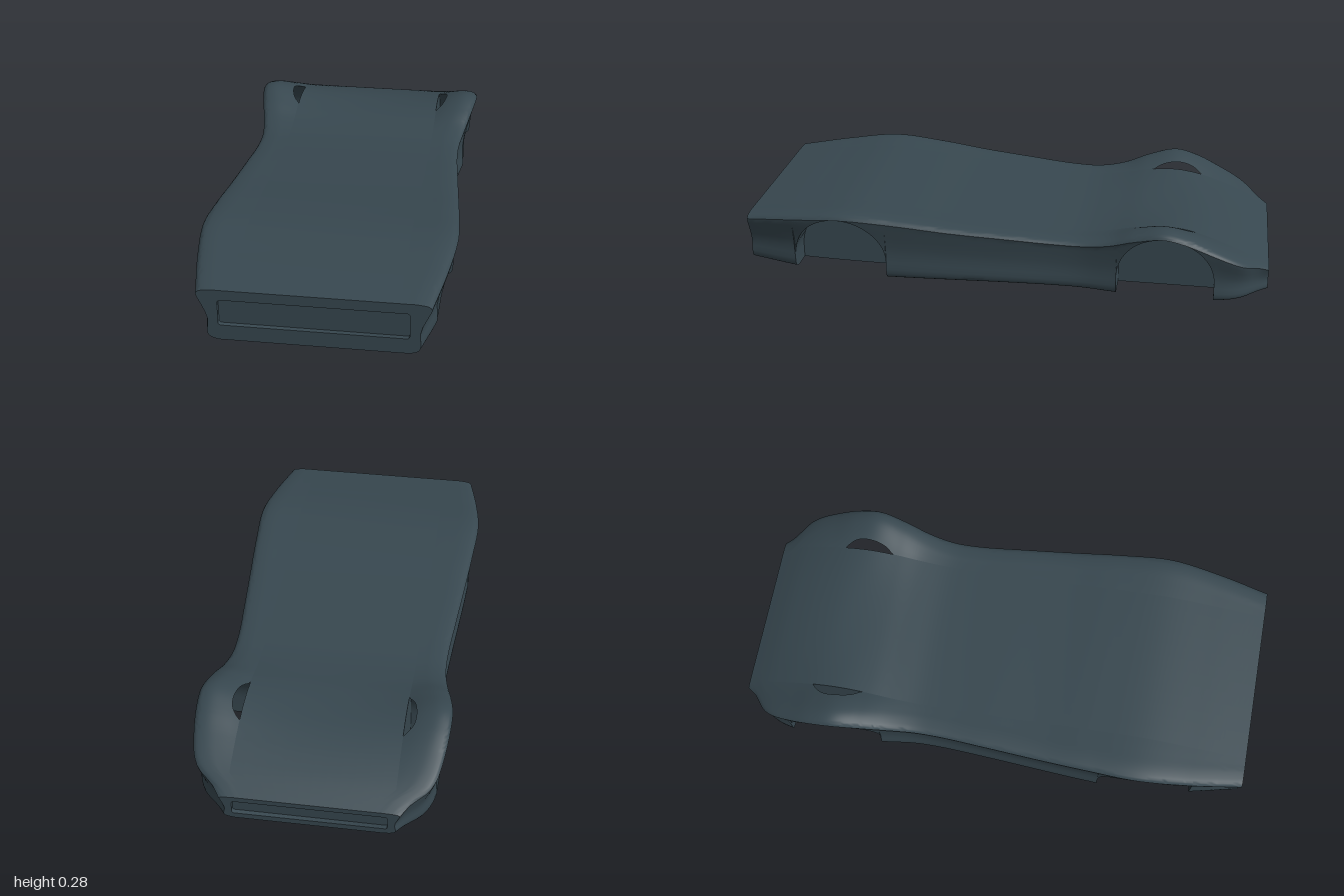
import * as THREE from 'three';
import { toCreasedNormals } from 'three/addons/utils/BufferGeometryUtils.js';

// Body stations: z, then half width, sill half width, floor y, deck centre y, fender y
const STATIONS = [
  [-1, 0.325, 0.31, 0.012, 0.11, 0.11],
  [-0.96, 0.355, 0.34, 0.008, 0.132, 0.132],
  [-0.91, 0.415, 0.39, 0.005, 0.157, 0.16],
  [-0.87, 0.438, 0.415, 0.003, 0.173, 0.182],
  [-0.8, 0.455, 0.436, 0.003, 0.197, 0.217],
  [-0.7, 0.467, 0.449, 0.004, 0.22, 0.263],
  [-0.61, 0.468, 0.45, 0.005, 0.227, 0.285],
  [-0.5, 0.451, 0.44, 0.006, 0.226, 0.262],
  [-0.4, 0.431, 0.425, 0.007, 0.216, 0.227],
  [-0.3, 0.417, 0.412, 0.009, 0.208, 0.211],
  [-0.2, 0.416, 0.41, 0.01, 0.211, 0.212],
  [0, 0.43, 0.42, 0.013, 0.227, 0.228],
  [0.2, 0.446, 0.433, 0.015, 0.244, 0.246],
  [0.4, 0.461, 0.445, 0.017, 0.267, 0.27],
  [0.6, 0.47, 0.45, 0.02, 0.28, 0.285],
  [0.8, 0.447, 0.42, 0.027, 0.264, 0.266],
  [1, 0.41, 0.375, 0.038, 0.24, 0.24],
];
const ARCHES = [-0.615, 0.63];
const ARCH_R = 0.183, ARCH_Y = 0.08, WELL_X = 0.3;

const body = new THREE.CubicInterpolant(
  STATIONS.map((s) => s[0]), STATIONS.flatMap((s) => s.slice(1)), 5);

// Half section at z; inside a wheel arch the side is trimmed to lie above it
function section(z, arch) {
  const [w, wb, yb, yc, ys] = Array.from(body.evaluate(z));
  const h = ys - yb;
  const xi = Math.min(WELL_X, w - 0.1);
  const y3 = yc + (ys - yc) * 0.33;
  const curve = (pts) => new THREE.SplineCurve(pts.map((p) => new THREE.Vector2(...p)));
  const lower = curve([
    [wb - 0.04, yb], [wb - 0.012, yb + 0.045 * h], [wb, yb + 0.15 * h],
    [wb + 0.12 * (w - wb) - 0.006, yb + 0.46 * h], [w - 0.004, yb + 0.84 * h], [w, yb + 0.92 * h],
  ]);
  const upper = curve([
    [w, yb + 0.92 * h], [w - 0.014, ys - 0.025 * h], [w - 0.055, ys],
    [(w - 0.055 + xi) / 2, (ys + y3) / 2 + 0.15 * (ys - y3)], [xi, y3],
  ]);
  let ya = yb, t0 = 0, t1 = 1;
  if (arch !== null) {
    ya = ARCH_Y + Math.sqrt(Math.max(0, ARCH_R ** 2 - (z - arch) ** 2));
    while (t0 < 1 && lower.getPoint(t0).y < ya) t0 = Math.min(1, t0 + 0.002);
    while (t1 > 0.3 && upper.getPoint(t1).y < ya) t1 -= 0.002;
  }
  const side = [];
  for (let i = 0; i <= 14; i++) side.push(lower.getPoint(t0 + (1 - t0) * i / 14));
  for (let i = 1; i <= 14; i++) side.push(upper.getPoint(t1 * i / 14));
  const inner = t1 < 1 ? side.at(-1).x : xi;
  const deck = [];
  for (let i = -6; i <= 6; i++) {
    deck.push(new THREE.Vector2(-xi * i / 6, yc + (y3 - yc) * (i / 6) ** 2));
  }
  const v = (x, y) => new THREE.Vector2(x, y);
  return {
    z, side, deck,
    arch: [v(inner, ya), side[0]],
    wall: [v(xi, yb), v(xi, Math.min(ya, y3))],
    floor: [v(-xi, yb), v(0, yb), v(xi, yb)],
  };
}

// Skin joining one strip of every section; sx = -1 mirrors it
function skin(rings, sx = 1, crease = 0.6) {
  const pos = [], idx = [], n = rings[0].pts.length;
  rings.forEach(({ z, pts }) => pts.forEach((p) => pos.push(p.x * sx, p.y, z)));
  for (let r = 0; r < rings.length - 1; r++) {
    for (let i = 0; i < n - 1; i++) {
      const a = r * n + i, b = a + 1, c = a + n, d = c + 1;
      if (sx > 0) idx.push(a, b, c, b, d, c);
      else idx.push(a, c, b, b, c, d);
    }
  }
  const g = new THREE.BufferGeometry();
  g.setAttribute('position', new THREE.Float32BufferAttribute(pos, 3));
  g.setIndex(idx);
  return toCreasedNormals(g, crease);
}

function roundedRect(hw, y0, y1, r) {
  const s = new THREE.Shape();
  s.absarc(hw - r, y1 - r, r, 0, Math.PI / 2);
  s.absarc(-hw + r, y1 - r, r, Math.PI / 2, Math.PI);
  s.absarc(-hw + r, y0 + r, r, Math.PI, Math.PI * 1.5);
  s.absarc(hw - r, y0 + r, r, Math.PI * 1.5, Math.PI * 2);
  s.closePath();
  return s;
}

export function createModel() {
  const group = new THREE.Group();
  const paint = new THREE.MeshStandardMaterial({ color: 0x37474f, side: THREE.DoubleSide });
  paint.name = 'slate body paint';
  const add = (name, geo) => {
    const m = new THREE.Mesh(geo, paint);
    m.name = name;
    group.add(m);
    return m;
  };

  // Stations along the length, doubled where an arch begins and ends
  const stops = [];
  for (let i = 0; i <= 100; i++) {
    const z = -1 + i / 50;
    if (!ARCHES.some((c) => Math.abs(z - c) <= ARCH_R)) stops.push({ z, arch: null, k: 0 });
  }
  for (const c of ARCHES) {
    stops.push({ z: c - ARCH_R, arch: null, k: -1 }, { z: c + ARCH_R, arch: null, k: 1 });
    for (let i = 0; i <= 40; i++) {
      stops.push({ z: c - ARCH_R * Math.cos(Math.PI * i / 40), arch: c, k: 0 });
    }
  }
  stops.sort((a, b) => (Math.abs(a.z - b.z) < 1e-6 ? a.k - b.k : a.z - b.z));
  const sections = stops.map((s) => section(s.z, s.arch));
  const strip = (key) => sections.map((s) => ({ z: s.z, pts: s[key] }));

  // Shell
  add('deck', skin(strip('deck').map((r) => ({ z: r.z, pts: [...r.pts].reverse() })), -1));
  add('floor', skin(strip('floor')));
  for (const [sx, label] of [[1, 'left'], [-1, 'right']]) {
    add(label + 'Side', skin(strip('side'), sx));
    add(label + 'WheelArchesAndSill', skin(strip('arch'), sx));
    add(label + 'WellWalls', skin(strip('wall'), sx));
  }

  // End faces, each with a recessed rounded panel
  const ends = [
    { name: 'front', s: sections.at(-1), dir: 1, rect: [0.335, 0.098, 0.2, 0.01] },
    { name: 'rear', s: sections[0], dir: -1, rect: [0.28, 0.034, 0.09, 0.008] },
  ];
  for (const { name, s, dir, rect } of ends) {
    const mirrored = [...s.side].reverse().map((p) => new THREE.Vector2(-p.x, p.y));
    const face = new THREE.Shape([...s.side, ...s.deck.slice(1, -1), ...mirrored]);
    const panel = roundedRect(...rect);
    face.holes.push(panel);
    const rim = panel.getPoints(6);
    const turn = (g) => (dir < 0 ? g.rotateY(Math.PI) : g);
    add(name + 'Face', turn(new THREE.ShapeGeometry(face, 6)).translate(0, 0, dir));
    add(name + 'Panel', turn(new THREE.ShapeGeometry(panel, 6)).translate(0, 0, dir * 0.982));
    add(name + 'PanelRim', skin([{ z: dir, pts: rim }, { z: dir * 0.982, pts: rim }], dir));
  }
  return group;
}
